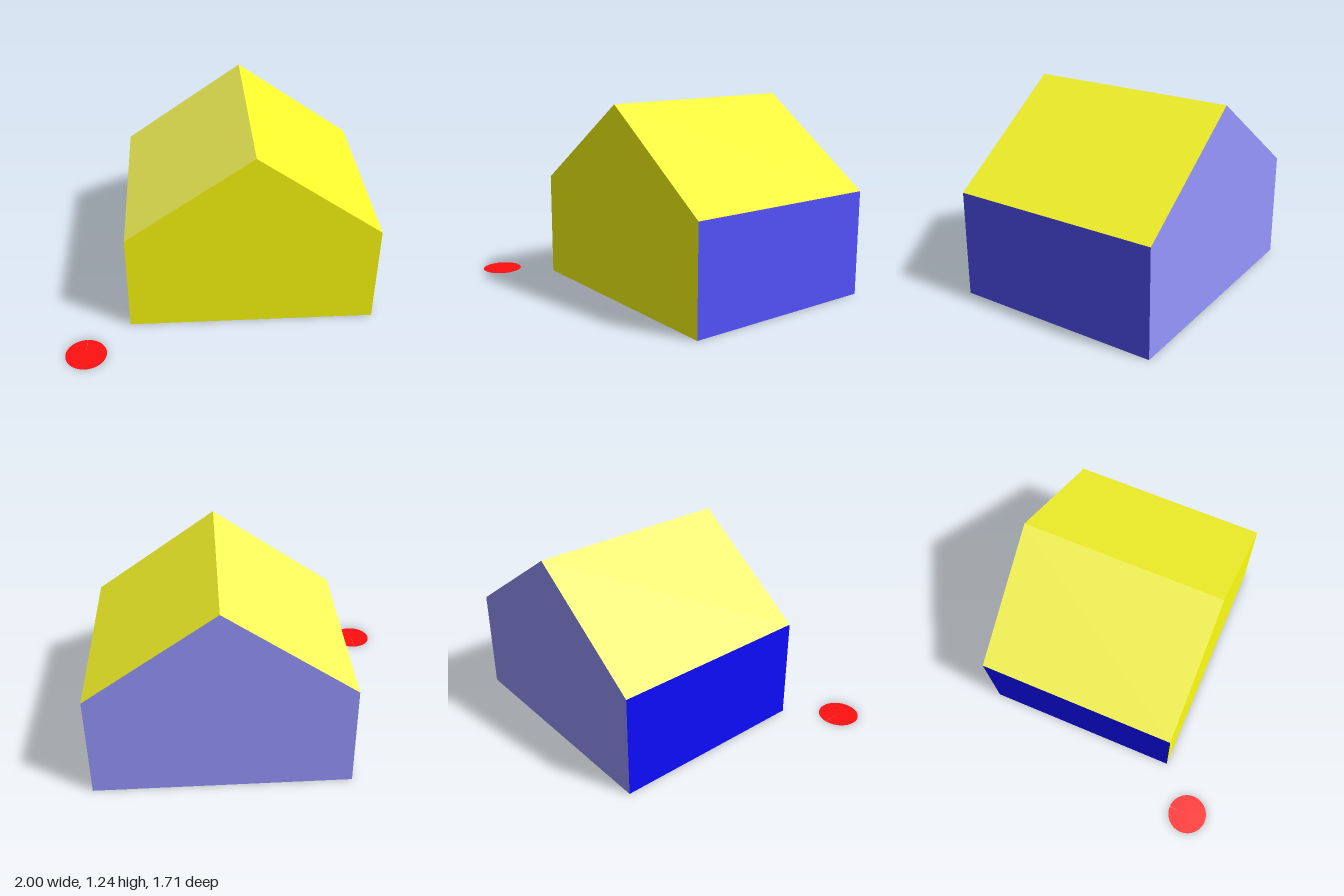
import * as THREE from 'three';

const HALF_WIDTH = 0.8, EAVE = 0.677, RIDGE = 1.237;
const BACK = -0.855, FRONT = 0.46, DEPTH = FRONT - BACK;

function panel(name, geometry, color) {
  const material = new THREE.MeshStandardMaterial({ color, side: THREE.DoubleSide });
  const mesh = new THREE.Mesh(geometry, material);
  mesh.name = name;
  return mesh;
}

export function createModel() {
  const model = new THREE.Group();
  model.name = 'houseAndDisc';

  // House shell, open underneath
  const house = new THREE.Group();
  house.name = 'house';
  house.position.set(0.2, 0, (FRONT + BACK) / 2);
  model.add(house);

  // Pentagonal gable walls
  const gable = new THREE.Shape([
    new THREE.Vector2(-HALF_WIDTH, 0),
    new THREE.Vector2(HALF_WIDTH, 0),
    new THREE.Vector2(HALF_WIDTH, EAVE),
    new THREE.Vector2(0, RIDGE),
    new THREE.Vector2(-HALF_WIDTH, EAVE),
  ]);
  const frontWall = panel('frontWall', new THREE.ShapeGeometry(gable), 0xffff0f);
  frontWall.position.z = DEPTH / 2;
  const backWall = panel('backWall', new THREE.ShapeGeometry(gable), 0x9797ff);
  backWall.rotation.y = Math.PI;
  backWall.position.z = -DEPTH / 2;
  house.add(frontWall, backWall);

  // Side walls and roof slopes, one pair per side
  const rise = RIDGE - EAVE;
  const slopeLength = Math.hypot(HALF_WIDTH, rise);
  const pitch = Math.atan2(rise, HALF_WIDTH);
  const sides = [
    { side: 1, label: 'left', wall: 0x5353ff, roof: 0xffff2d },
    { side: -1, label: 'right', wall: 0x0c0cff, roof: 0xffff5b },
  ];
  for (const { side, label, wall, roof } of sides) {
    const wallGeometry = new THREE.PlaneGeometry(DEPTH, EAVE)
      .rotateY(side * Math.PI / 2)
      .translate(side * HALF_WIDTH, EAVE / 2, 0);
    const roofGeometry = new THREE.PlaneGeometry(slopeLength, DEPTH)
      .rotateX(-Math.PI / 2)
      .rotateZ(-side * pitch)
      .translate(side * HALF_WIDTH / 2, (EAVE + RIDGE) / 2, 0);
    house.add(
      panel(label + 'Wall', wallGeometry, wall),
      panel(label + 'RoofSlope', roofGeometry, roof),
    );
  }

  // Flat ground disc with a hairline slit towards the back
  const slit = Math.PI / 180;
  const disc = panel(
    'groundDisc',
    new THREE.CircleGeometry(0.13, 120, Math.PI / 2 + slit / 2, Math.PI * 2 - slit)
      .rotateX(-Math.PI / 2),
    0xff0f0f,
  );
  disc.position.set(-0.87, 0, 0.722);
  model.add(disc);

  return model;
}
